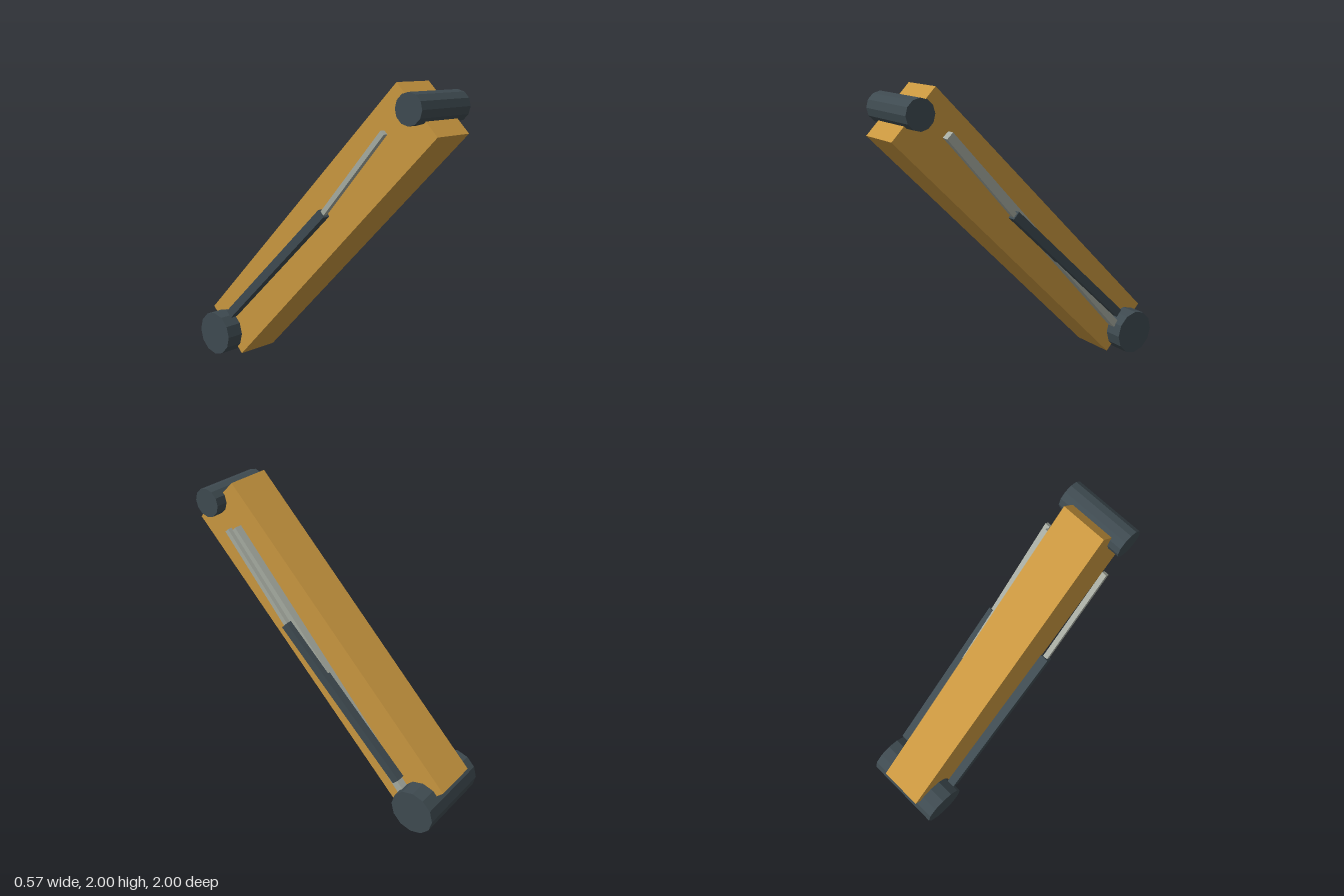
import * as THREE from 'three';

const paint = (name, color) => {
  const m = new THREE.MeshStandardMaterial({ color });
  m.name = name;
  return m;
};

export function createModel() {
  const model = new THREE.Group();
  model.name = 'hydraulicArm';
  const ochre = paint('ochre', 0xc8963f);
  const darkSteel = paint('darkSteel', 0x3e4a50);
  const paleSteel = paint('paleSteel', 0xa5aaa0);

  const add = (name, geometry, material) => {
    const mesh = new THREE.Mesh(geometry, material);
    mesh.name = name;
    model.add(mesh);
    return mesh;
  };

  // Rectangular bar running between two [y, z] points at a given x
  const bar = (name, x, from, to, width, depth, material) => {
    const dy = to[0] - from[0], dz = to[1] - from[1];
    const mesh = add(name, new THREE.BoxGeometry(width, Math.hypot(dy, dz), depth), material);
    mesh.position.set(x, (from[0] + to[0]) / 2, (from[1] + to[1]) / 2);
    mesh.rotation.x = Math.atan2(dz, dy);
  };

  // Twelve-sided pivot lying across the arm
  const pivot = (name, radius, length, y, z) => {
    const geometry = new THREE.CylinderGeometry(radius, radius, length, 12);
    geometry.rotateZ(Math.PI / 2);
    const mesh = add(name, geometry, darkSteel);
    mesh.position.set(0, y, z);
  };

  // Main beam and its end pivots
  bar('beam', 0, [0.155, -0.845], [1.85, 0.85], 0.314, 0.424, ochre);
  pivot('basePivot', 0.155, 0.566, 0.155, -0.845);
  pivot('tipPivot', 0.097, 0.48, 1.855, 0.853);

  // Hydraulic ram on each side
  for (const [side, s] of [['left', 1], ['right', -1]]) {
    bar(side + 'RamBarrel', s * 0.236, [0.326, -0.703], [1.176, 0.2], 0.058, 0.06, darkSteel);
    bar(side + 'RamRod', s * 0.236, [1.16, 0.186], [1.713, 0.676], 0.034, 0.034, paleSteel);
  }

  // Hose line along the left face
  bar('hoseLine', 0.196, [0.228, -0.716], [1.716, 0.648], 0.055, 0.052, paleSteel);

  darkSteel.flatShading = true;
  return model;
}
